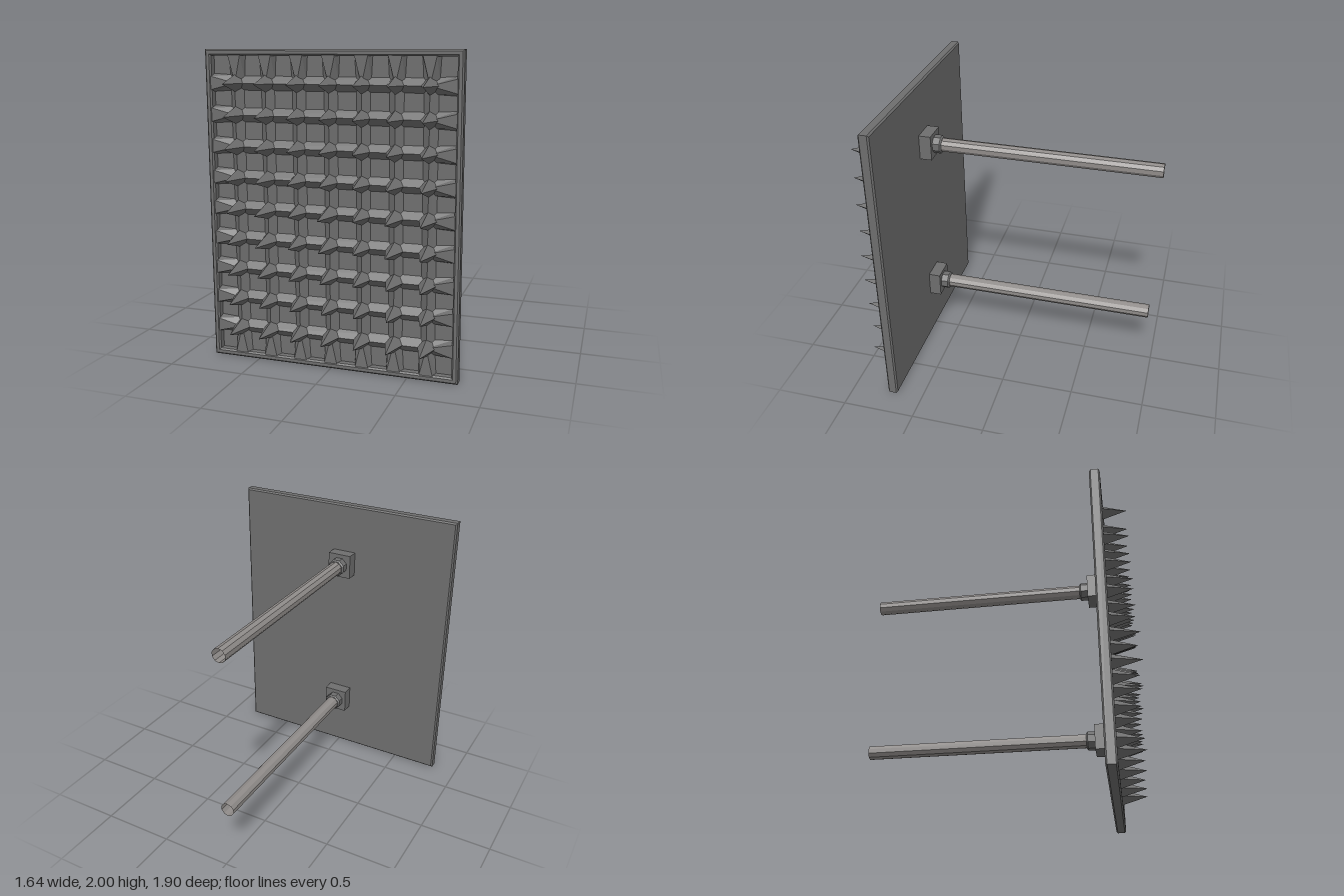
import * as THREE from 'three';

const steel = new THREE.MeshStandardMaterial({ color: 0x6e6e6e, flatShading: true });
steel.name = 'dark steel';
const rodSteel = new THREE.MeshStandardMaterial({ color: 0x8f8b89, flatShading: true, side: THREE.DoubleSide });
rodSteel.name = 'light steel';

const FLOOR = 0.70, CREST = 0.74, RIM = 0.75;
const COLS = 7, ROWS = 9, DX = 0.207, DY = 0.198;

function add(parent, name, geometry, material, x = 0, y = 0, z = 0) {
  const mesh = new THREE.Mesh(geometry, material);
  mesh.name = name;
  mesh.position.set(x, y, z);
  parent.add(mesh);
  return mesh;
}

function rectangle(path, w, h) {
  path.moveTo(-w, -h);
  path.lineTo(w, -h);
  path.lineTo(w, h);
  path.lineTo(-w, h);
  path.closePath();
  return path;
}

// A bar along +x whose top may be a sharp crest (0) or a flat strip, different at each end
function ridgeGeometry(length, start, end) {
  const g = new THREE.BoxGeometry(1, 1, 1).toNonIndexed();
  const p = g.attributes.position;
  for (let i = 0; i < p.count; i++) {
    const e = p.getX(i) > 0 ? end : start;
    const top = p.getZ(i) > 0;
    p.setXYZ(i,
      p.getX(i) > 0 ? length : 0,
      Math.sign(p.getY(i)) * (top ? e.top : e.base),
      top ? e.z : FLOOR - 0.005);
  }
  g.computeVertexNormals();
  return g;
}

export function createModel() {
  const model = new THREE.Group();
  model.name = 'spikedPlate';

  // Bevelled frame and sunken floor
  const outline = rectangle(new THREE.Shape(), 0.81, 0.99);
  outline.holes.push(rectangle(new THREE.Path(), 0.79, 0.97));
  const frame = new THREE.ExtrudeGeometry(outline, {
    depth: 0.05, bevelEnabled: true, bevelSize: 0.01, bevelThickness: 0.01, bevelSegments: 1,
  });
  add(model, 'frame', frame, steel, 0, 1, 0.69);
  add(model, 'backPanel', new THREE.BoxGeometry(1.58, 1.94, 0.02), steel, 0, 1, 0.69);

  // Crossing ridges, with wedge tabs joining them to the frame
  const sharp = { top: 0, base: 0.05, z: CREST };
  const flat = { top: 0.042, base: 0.06, z: RIM - 0.003 };
  const spanX = DX * (COLS - 1) / 2, spanY = DY * (ROWS - 1) / 2;
  const rowRidge = ridgeGeometry(spanX * 2, sharp, sharp);
  const colRidge = ridgeGeometry(spanY * 2, sharp, sharp);
  const rowTab = ridgeGeometry(0.785 - spanX, sharp, flat);
  const colTab = ridgeGeometry(0.965 - spanY, sharp, flat);
  for (let r = 0; r < ROWS; r++) {
    const y = 1 + (r - (ROWS - 1) / 2) * DY;
    add(model, 'rowRidge', rowRidge, steel, -spanX, y);
    add(model, 'rowTab', rowTab, steel, spanX, y);
    add(model, 'rowTab', rowTab, steel, -spanX, y).rotation.z = Math.PI;
  }
  for (let c = 0; c < COLS; c++) {
    const x = (c - (COLS - 1) / 2) * DX;
    add(model, 'columnRidge', colRidge, steel, x, 1 - spanY).rotation.z = Math.PI / 2;
    add(model, 'columnTab', colTab, steel, x, 1 + spanY).rotation.z = Math.PI / 2;
    add(model, 'columnTab', colTab, steel, x, 1 - spanY).rotation.z = -Math.PI / 2;
  }

  // Four-sided spikes of slightly uneven length on the crossings
  const rowTip = [0.92, 0.905, 0.92, 0.94, 0.95, 0.92, 0.92, 0.91, 0.905];
  const colTip = [0.91, 0.94, 0.91, 0.95, 0.91, 0.94, 0.93];
  const spike = new THREE.ConeGeometry(0.066, 1, 4, 1, true);
  spike.translate(0, 0.5, 0);
  spike.rotateX(Math.PI / 2);
  for (let r = 0; r < ROWS; r++) {
    for (let c = 0; c < COLS; c++) {
      const x = (c - (COLS - 1) / 2) * DX, y = 1 + (r - (ROWS - 1) / 2) * DY;
      const mesh = add(model, 'spike', spike, steel, x, y, FLOOR);
      mesh.scale.z = Math.min(rowTip[r], colTip[c]) - FLOOR;
    }
  }

  // Rear mounts: block, chamfered nut and hollow rod
  const block = new THREE.BoxGeometry(0.17, 0.172, 0.085);
  const nut = new THREE.LatheGeometry(
    [[0, 0.54], [0.053, 0.54], [0.063, 0.55], [0.063, 0.602]].map(([r, z]) => new THREE.Vector2(r, z)), 8);
  nut.rotateX(Math.PI / 2);
  nut.rotateZ(Math.PI / 8);
  const rod = new THREE.CylinderGeometry(0.048, 0.048, 1.5, 10, 1, true);
  rod.rotateX(Math.PI / 2);
  for (const y of [0.43, 1.57]) {
    const mount = new THREE.Group();
    mount.name = 'rearMount';
    mount.position.y = y;
    add(mount, 'block', block, steel, 0, 0, 0.6405);
    add(mount, 'nut', nut, steel);
    add(mount, 'rod', rod, rodSteel, 0, 0, -0.2);
    model.add(mount);
  }
  return model;
}
